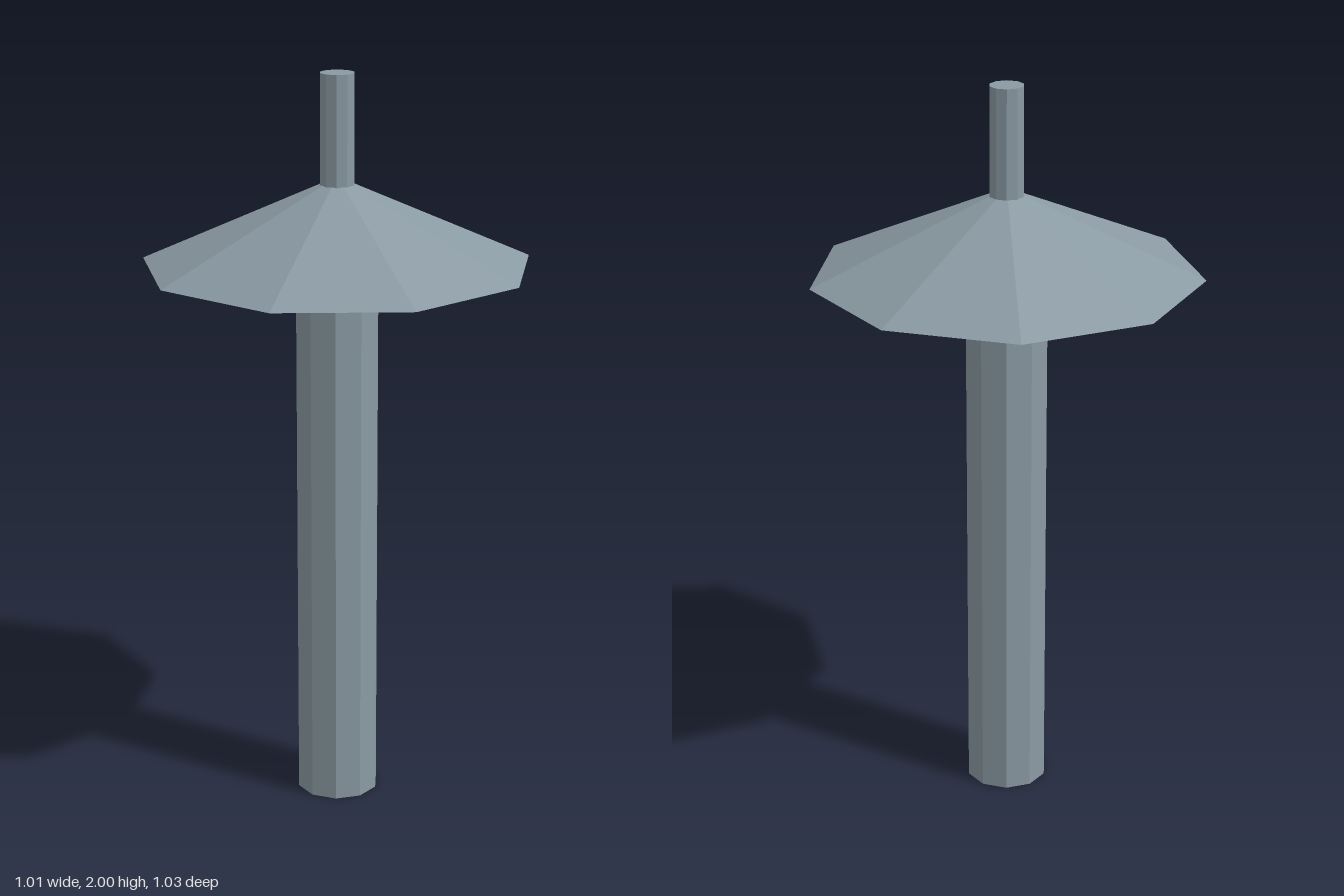
import * as THREE from 'three';

export function createModel() {
  const model = new THREE.Group();
  const blueGrey = new THREE.MeshStandardMaterial({ color: 0x8a9aa3 });
  blueGrey.name = 'blueGrey';
  blueGrey.flatShading = true;

  // Upright faceted section between two heights, with one corner pointing to +x
  function section(name, topRadius, bottomRadius, y0, y1, sides) {
    const geometry = new THREE.CylinderGeometry(
      topRadius, bottomRadius, y1 - y0, sides, 1, false, Math.PI / 2);
    const mesh = new THREE.Mesh(geometry, blueGrey);
    mesh.name = name;
    // The odd-sided canopy is centred by its bounds, so the axis sits off zero
    mesh.position.set(-0.0157, (y0 + y1) / 2, 0);
    model.add(mesh);
  }

  section('post', 0.1125, 0.1125, 0, 1.5, 10);
  section('canopy', 0.046, 0.5207, 1.497, 1.71, 9);
  section('topRod', 0.046, 0.046, 1.708, 2, 10);

  return model;
}
